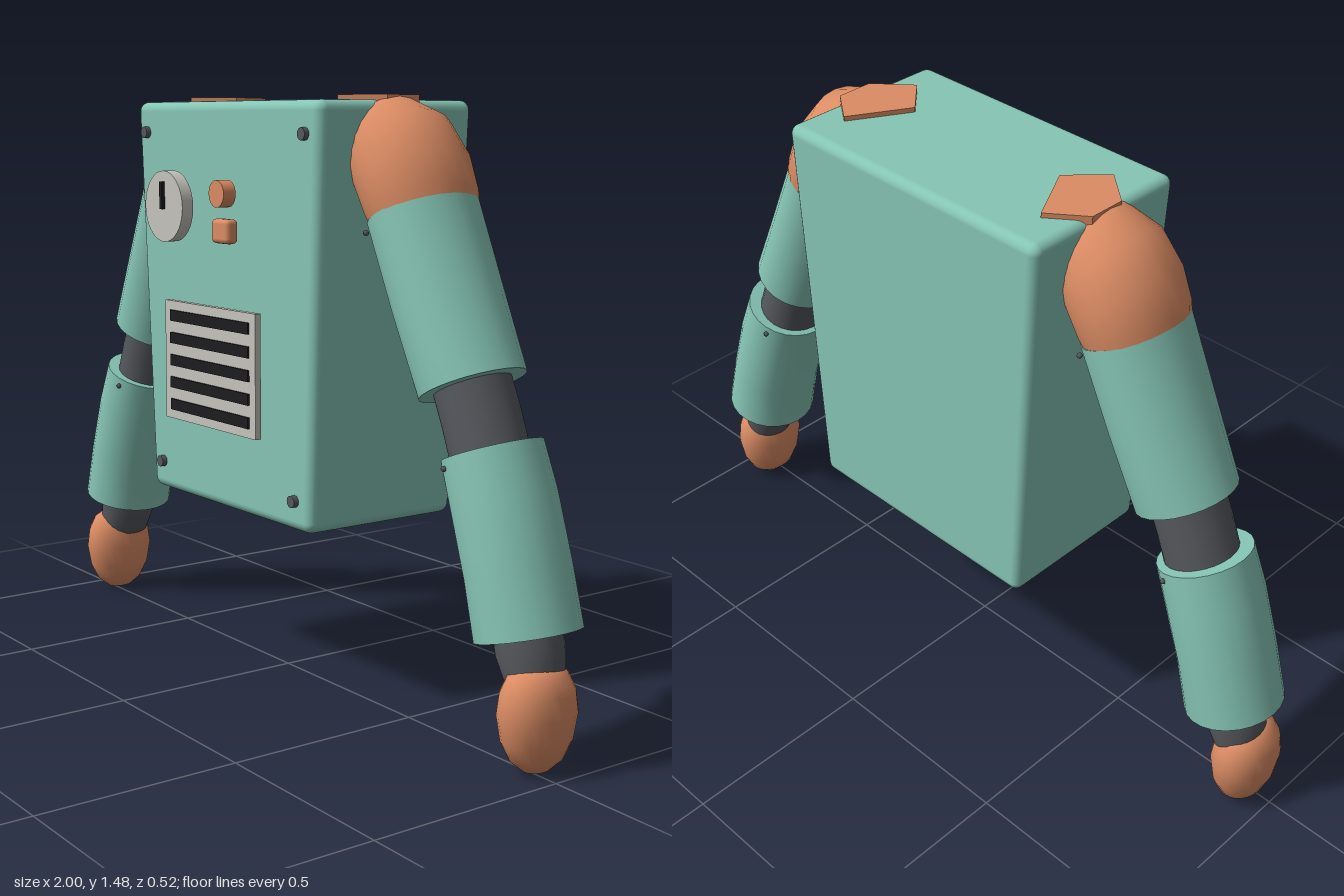
import * as THREE from 'three';
import { toCreasedNormals } from 'three/addons/utils/BufferGeometryUtils.js';
import { RoundedBoxGeometry } from 'three/addons/geometries/RoundedBoxGeometry.js';

const paint = (name, color) => Object.assign(new THREE.MeshStandardMaterial({ color }), { name });

// Closed elliptical loft; each station is [x, y, radius in the xy plane, radius in z]
function loft(stations, cz, sides = 24) {
  const pos = [], index = [], n = stations.length;
  stations.forEach(([x, y, r, rz], i) => {
    const a = stations[Math.max(i - 1, 0)], b = stations[Math.min(i + 1, n - 1)];
    const len = Math.hypot(b[0] - a[0], b[1] - a[1]);
    const nx = -(b[1] - a[1]) / len, ny = (b[0] - a[0]) / len;
    for (let j = 0; j < sides; j++) {
      const t = (j / sides) * Math.PI * 2, c = Math.cos(t) * r;
      pos.push(x + nx * c, y + ny * c, cz + Math.sin(t) * rz);
    }
  });
  const start = n * sides, end = start + 1;
  pos.push(stations[0][0], stations[0][1], cz, stations[n - 1][0], stations[n - 1][1], cz);
  for (let j = 0; j < sides; j++) {
    const k = (j + 1) % sides, last = (n - 1) * sides;
    for (let i = 0; i < n - 1; i++) {
      const p = i * sides, q = p + sides;
      index.push(p + j, p + k, q + j, p + k, q + k, q + j);
    }
    index.push(start, k, j, end, last + j, last + k);
  }
  const geo = new THREE.BufferGeometry();
  geo.setAttribute('position', new THREE.Float32BufferAttribute(pos, 3));
  geo.setIndex(index);
  return toCreasedNormals(geo, 0.75);
}

export function createModel() {
  const model = new THREE.Group();
  model.name = 'robotBody';
  const teal = paint('teal', 0x86c5b5);
  const orange = paint('orange', 0xdb8c64);
  const charcoal = paint('charcoal', 0x55585d);
  const silver = paint('silver', 0xc6c4be);
  const black = paint('black', 0x1d1d21);

  const add = (parent, name, geo, mat, x = 0, y = 0, z = 0) => {
    const mesh = new THREE.Mesh(geo, mat);
    mesh.name = name;
    mesh.position.set(x, y, z);
    parent.add(mesh);
    return mesh;
  };
  const disc = (r, depth, sides = 32) => new THREE.CylinderGeometry(r, r, depth, sides).rotateX(Math.PI / 2);

  // Torso: rounded box narrowing downwards
  const box = new RoundedBoxGeometry(0.81, 1.02, 0.46, 3, 0.025);
  const p = box.attributes.position;
  for (let i = 0; i < p.count; i++) {
    const t = p.getY(i) / 1.02 + 0.5;
    p.setX(i, p.getX(i) * (0.875 + 0.125 * t));
    p.setZ(i, p.getZ(i) * (0.96 + 0.04 * t));
  }
  add(model, 'torso', box, teal, 0, 0.96, -0.028);

  // Front panel controls
  const panel = new THREE.Group();
  panel.name = 'frontPanel';
  model.add(panel);
  add(panel, 'dial', disc(0.09, 0.032), silver, -0.195, 1.207, 0.234);
  add(panel, 'dialNeedle', new THREE.BoxGeometry(0.012, 0.07, 0.009), black, -0.195, 1.235, 0.2545);
  add(panel, 'roundButton', disc(0.033, 0.035), orange, 0.057, 1.247, 0.237);
  add(panel, 'squareButton', new RoundedBoxGeometry(0.075, 0.06, 0.035, 2, 0.012), orange, 0.067, 1.157, 0.237);
  add(panel, 'grille', new THREE.BoxGeometry(0.41, 0.305, 0.016), silver, -0.005, 0.815, 0.231);
  for (let i = 0; i < 5; i++) {
    add(panel, 'grilleSlot', new THREE.BoxGeometry(0.355, 0.028, 0.006), black, -0.003, 0.93 - i * 0.0575, 0.241);
  }
  for (const s of [-1, 1]) {
    add(panel, 'upperScrew', disc(0.015, 0.014, 12), charcoal, s * 0.35, 1.392, 0.207);
    add(panel, 'lowerScrew', disc(0.015, 0.014, 12), charcoal, s * 0.3, 0.525, 0.2);
  }

  // Arms, one for each side
  const parts = [
    ['shoulder', orange, [[0.33, 1.375, 0.1, 0.1], [0.37, 1.37, 0.115, 0.12], [0.42, 1.348, 0.128, 0.14],
      [0.465, 1.295, 0.125, 0.148], [0.495, 1.235, 0.118, 0.146], [0.52, 1.17, 0.105, 0.13]]],
    ['upperSleeve', teal, [[0.5, 1.215, 0.117, 0.142], [0.59, 1.02, 0.119, 0.138], [0.68, 0.833, 0.122, 0.13]]],
    ['elbow', charcoal, [[0.66, 0.875, 0.088, 0.094], [0.71, 0.765, 0.088, 0.094], [0.755, 0.65, 0.088, 0.094]]],
    ['forearmSleeve', teal, [[0.748, 0.697, 0.115, 0.12], [0.79, 0.59, 0.117, 0.125],
      [0.84, 0.44, 0.115, 0.127], [0.877, 0.303, 0.119, 0.127]]],
    ['wrist', charcoal, [[0.865, 0.33, 0.075, 0.075], [0.884, 0.27, 0.08, 0.079], [0.905, 0.2, 0.06, 0.07]]],
  ];
  const egg = [[0, 0.005], [0.035, 0.01], [0.067, 0.035], [0.09, 0.08], [0.101, 0.14],
    [0.094, 0.19], [0.075, 0.228], [0.045, 0.246], [0, 0.252]].map(([r, y]) => new THREE.Vector2(r, y));

  for (const s of [1, -1]) {
    const arm = new THREE.Group();
    arm.name = s > 0 ? 'leftArm' : 'rightArm';
    model.add(arm);
    for (const [name, mat, stations] of parts) {
      add(arm, name, loft(stations.map(([x, ...rest]) => [s * x, ...rest]), -0.026), mat);
    }
    // Pointed shoulder flap showing on top of the torso
    const flap = new THREE.Shape([[0.235, 0], [0.32, 0.152], [0.41, 0.085], [0.41, -0.01], [0.32, -0.087]]
      .map(([x, y]) => new THREE.Vector2(s * x, y)));
    const flapGeo = new THREE.ExtrudeGeometry(flap, { depth: 0.022, bevelEnabled: false }).rotateX(-Math.PI / 2);
    add(arm, 'shoulderFlap', flapGeo, orange, 0, 1.46, 0);

    // Egg-shaped hand, flattened sideways
    add(arm, 'hand', new THREE.LatheGeometry(egg, 24), orange, s * 0.922, 0, -0.015).scale.x = 0.76;

    // Small rivets near the sleeve rims
    for (const f of [-1, 1]) {
      add(arm, 'sleeveRivet', new THREE.SphereGeometry(0.007, 8, 6), charcoal, s * 0.445, 1.168, -0.026 + f * 0.124);
      add(arm, 'forearmRivet', new THREE.SphereGeometry(0.007, 8, 6), charcoal, s * 0.72, 0.663, -0.026 + f * 0.117);
    }
  }
  return model;
}
